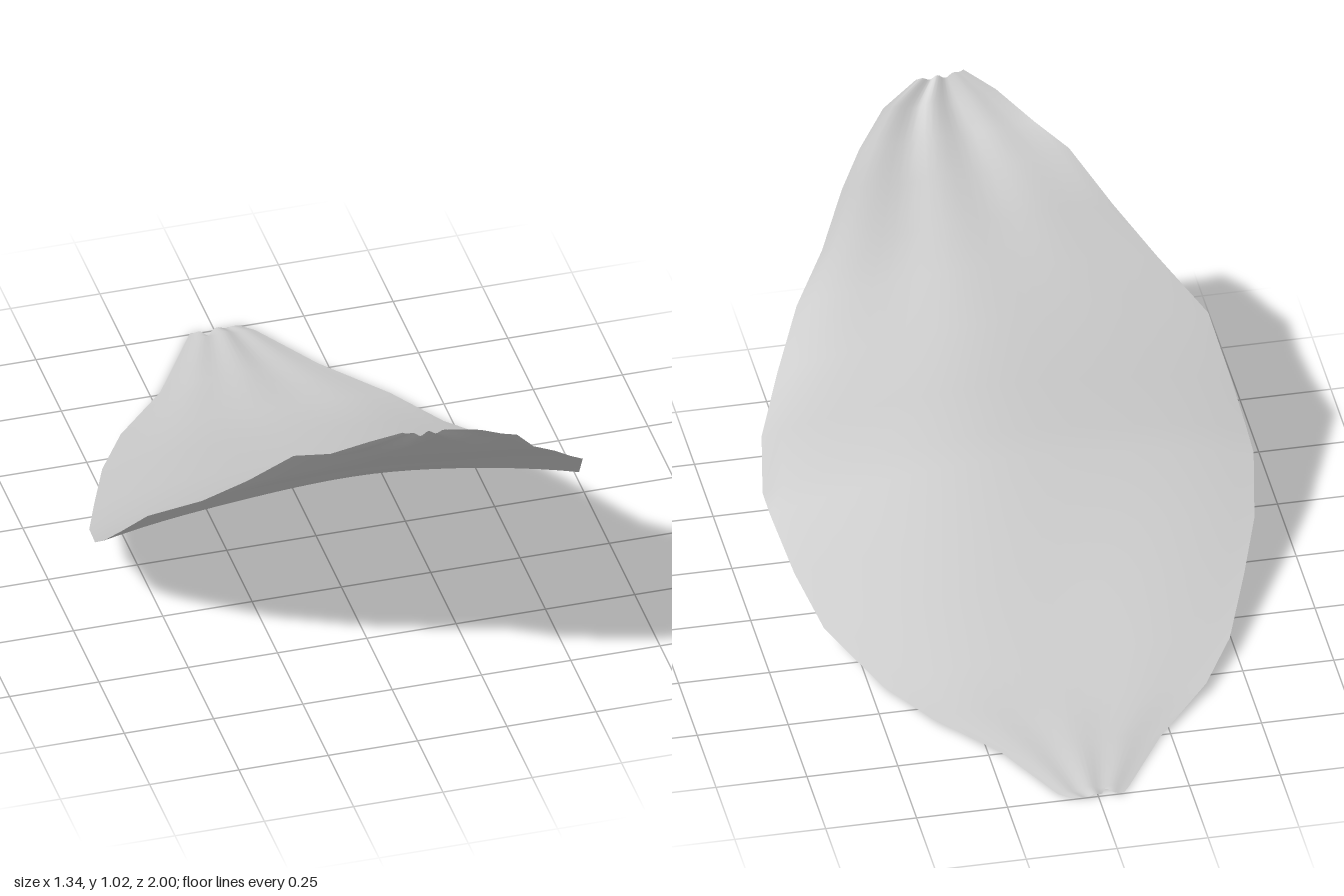
import * as THREE from 'three';

// Cross-sections from back to front: z, right edge x, left edge x, right edge y, middle y, left edge y
const SECTIONS = [
  [-1.00, -0.07, 0.07, 0.015, 0.018, 0.015],
  [-0.97, -0.09, 0.105, 0.012, 0.022, 0.014],
  [-0.76, -0.22, 0.22, 0.014, 0.033, 0.025],
  [-0.57, -0.385, 0.37, 0.035, 0.042, 0.026],
  [-0.40, -0.485, 0.47, 0.055, 0.072, 0.030],
  [-0.18, -0.57, 0.585, 0.105, 0.145, 0.085],
  [0.00, -0.635, 0.63, 0.155, 0.210, 0.150],
  [0.18, -0.67, 0.66, 0.240, 0.315, 0.225],
  [0.24, -0.662, 0.668, 0.285, 0.360, 0.255],
  [0.34, -0.64, 0.65, 0.380, 0.445, 0.370],
  [0.47, -0.605, 0.58, 0.510, 0.560, 0.480],
  [0.60, -0.49, 0.50, 0.625, 0.655, 0.600],
  [0.70, -0.39, 0.41, 0.740, 0.735, 0.700],
  [0.80, -0.29, 0.335, 0.870, 0.825, 0.820],
  [0.88, -0.21, 0.27, 0.915, 0.895, 0.890],
  [0.95, -0.12, 0.19, 0.985, 0.960, 0.965],
  [0.995, -0.04, 0.09, 1.030, 1.015, 1.015],
];
const COLUMNS = 24;

// Shallow lengthwise pleats, deepest where the sheet gathers at its two ends
function pleat(s, z, halfWidth) {
  const gather = Math.pow(Math.abs(z), 3);
  const depth = Math.min(0.012 * gather, halfWidth * 0.1) * (z < 0 ? 0.5 : 1);
  return depth * Math.sin(s * 9 + 0.6) + 0.004 * Math.sin(s * 5 + z * 4) * (1 - gather);
}

function petalGeometry() {
  const positions = [];
  const indices = [];
  SECTIONS.forEach(([z, x0, x1, y0, yMid, y1], row) => {
    for (let i = 0; i <= COLUMNS; i++) {
      const s = (i / COLUMNS) * 2 - 1;
      const x = THREE.MathUtils.lerp(x0, x1, (s + 1) / 2);
      // The middle arches above the two edges
      const edge = s < 0 ? y0 : y1;
      const y = yMid + (edge - yMid) * s * s + pleat(s, z, (x1 - x0) / 2) * (1 - s * s);
      // Small notch in the narrow back tip
      const notch = row === 0 ? 0.025 * Math.exp(-Math.pow((s + 0.35) * 6, 2)) : 0;
      positions.push(x, Math.max(y, 0), z + notch);
      if (row && i) {
        const d = row * (COLUMNS + 1) + i;
        const c = d - 1;
        const b = d - COLUMNS - 1;
        const a = b - 1;
        indices.push(a, c, b, b, c, d);
      }
    }
  });
  const geometry = new THREE.BufferGeometry();
  geometry.setAttribute('position', new THREE.Float32BufferAttribute(positions, 3));
  geometry.setIndex(indices);
  geometry.computeVertexNormals();
  return geometry;
}

export function createModel() {
  const group = new THREE.Group();
  group.name = 'curvedPetal';
  const material = new THREE.MeshStandardMaterial({ color: 0xcccccc, side: THREE.DoubleSide });
  const petal = new THREE.Mesh(petalGeometry(), material);
  petal.name = 'petal';
  group.add(petal);
  return group;
}
